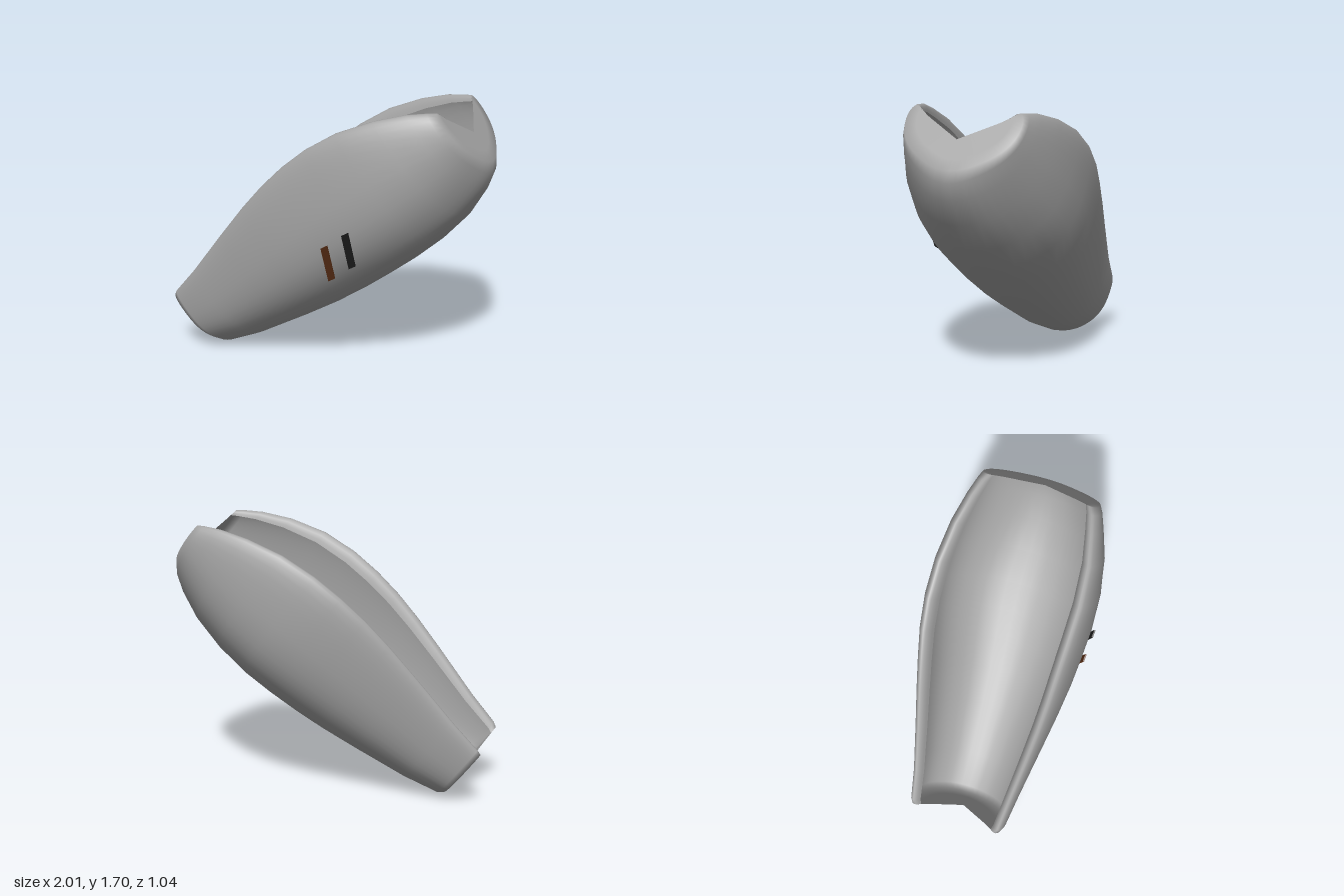
import * as THREE from 'three';

// Slanted frame: S runs along the shell, W points toward its open side, z runs across.
const S = new THREE.Vector2(0.784, 0.621);
const W = new THREE.Vector2(-0.621, 0.784);
const toWorld = (s, w, z, centre) => {
  const t = s + 0.05 * (z - centre); // ends are cut slightly askew
  return [-0.71 + S.x * t + W.x * w, 0.005 + S.y * t + W.y * w, z];
};

// Half cross-section from keel to curled rim: (fraction of half width, fraction of height)
const halfSection = new THREE.SplineCurve([
  [0, 0], [0.3, 0.022], [0.57, 0.085], [0.79, 0.195], [0.92, 0.315], [0.98, 0.44], [1, 0.58],
  [0.985, 0.76], [0.95, 0.9], [0.9, 0.98], [0.85, 1], [0.79, 0.97], [0.755, 0.91],
].map(([a, b]) => new THREE.Vector2(a, b))).getPoints(24);
const N = halfSection.length - 1;

// Stations: s, keel w, rim w, half width, centre z
const stations = [
  [-0.012, 0.01, 0.44, 0.295, 0.10],
  [0.02, -0.022, 0.455, 0.308, 0.099],
  [0.24, -0.086, 0.495, 0.338, 0.088],
  [0.59, -0.15, 0.577, 0.397, 0.066],
  [0.83, -0.187, 0.63, 0.439, 0.048],
  [1.03, -0.206, 0.665, 0.472, 0.03],
  [1.22, -0.216, 0.684, 0.496, 0.01],
  [1.42, -0.221, 0.685, 0.51, -0.005],
  [1.65, -0.212, 0.655, 0.511, -0.016],
  [1.88, -0.176, 0.583, 0.484, -0.03],
  [2.05, -0.11, 0.505, 0.437, -0.046],
  [2.145, -0.05, 0.445, 0.403, -0.055],
  [2.185, 0.01, 0.415, 0.382, -0.06],
];

// One ring of the shell; inset 0 is the section, 1 is the V-shaped edge of the end cap
function ring([s, keel, rim, half, centre], inset = 0) {
  const points = [];
  const last = halfSection[N];
  const rimW = keel + (rim - keel) * last.y;
  const flare = 0.2 * Math.max(0, 1 - s / 1.1); // walls splay near the narrow end
  const round = 0.45 * THREE.MathUtils.clamp((s - 1.5) / 0.65, 0, 1); // keel rounds off at the wide end
  const spread = (p) => p.x * (1 + flare * (p.y - 0.5)) * (1 - round * (1 - p.y) ** 2);
  for (let j = -N; j <= N; j++) {
    const k = Math.abs(j), t = k / N, p = halfSection[k];
    const w = THREE.MathUtils.lerp(keel + (rim - keel) * p.y, THREE.MathUtils.lerp(0.215, rimW, t), inset);
    const z = Math.sign(j) * half * THREE.MathUtils.lerp(spread(p), spread(last) * t, inset);
    points.push(...toWorld(s, w, centre + z, centre));
  }
  return points;
}

function shellGeometry() {
  const first = stations[0], end = stations[stations.length - 1];
  const rings = [
    ring(first, 1), ring(first, 0.35),
    ...stations.map((st) => ring(st)),
    ring(end, 0.35), ring(end, 1),
  ];
  const cols = 2 * N + 1, index = [];
  for (let i = 0; i < rings.length - 1; i++) {
    for (let j = 0; j < cols - 1; j++) {
      const a = i * cols + j, b = a + cols;
      index.push(a, b, a + 1, b, b + 1, a + 1);
    }
  }
  const g = new THREE.BufferGeometry();
  g.setAttribute('position', new THREE.Float32BufferAttribute(rings.flat(), 3));
  g.setIndex(index);
  g.computeVertexNormals();
  return g;
}

// Thin slanted plate lying against the front flank
function stripeGeometry(x, y) {
  const g = new THREE.BoxGeometry(1, 1, 0.009);
  const p = g.attributes.position;
  for (let i = 0; i < p.count; i++) {
    const u = p.getX(i), v = p.getY(i);
    p.setXYZ(i, x + 0.042 * u - 0.011 * v, y + 0.024 * u + 0.232 * v, 0.474 + 0.083 * v + p.getZ(i));
  }
  g.computeVertexNormals();
  return g;
}

export function createModel() {
  const group = new THREE.Group();
  const grey = new THREE.MeshStandardMaterial({ color: 0xa4a4a4, side: THREE.DoubleSide });
  grey.name = 'grey';
  const brown = new THREE.MeshStandardMaterial({ color: 0x5c3016 });
  brown.name = 'brown';
  const black = new THREE.MeshStandardMaterial({ color: 0x1e1e1e });
  black.name = 'black';

  const add = (name, geometry, material) => {
    const mesh = new THREE.Mesh(geometry, material);
    mesh.name = name;
    group.add(mesh);
  };
  add('armourShell', shellGeometry(), grey);
  add('brownStripe', stripeGeometry(0.168, 0.768), brown);
  add('blackStripe', stripeGeometry(0.303, 0.866), black);
  return group;
}
